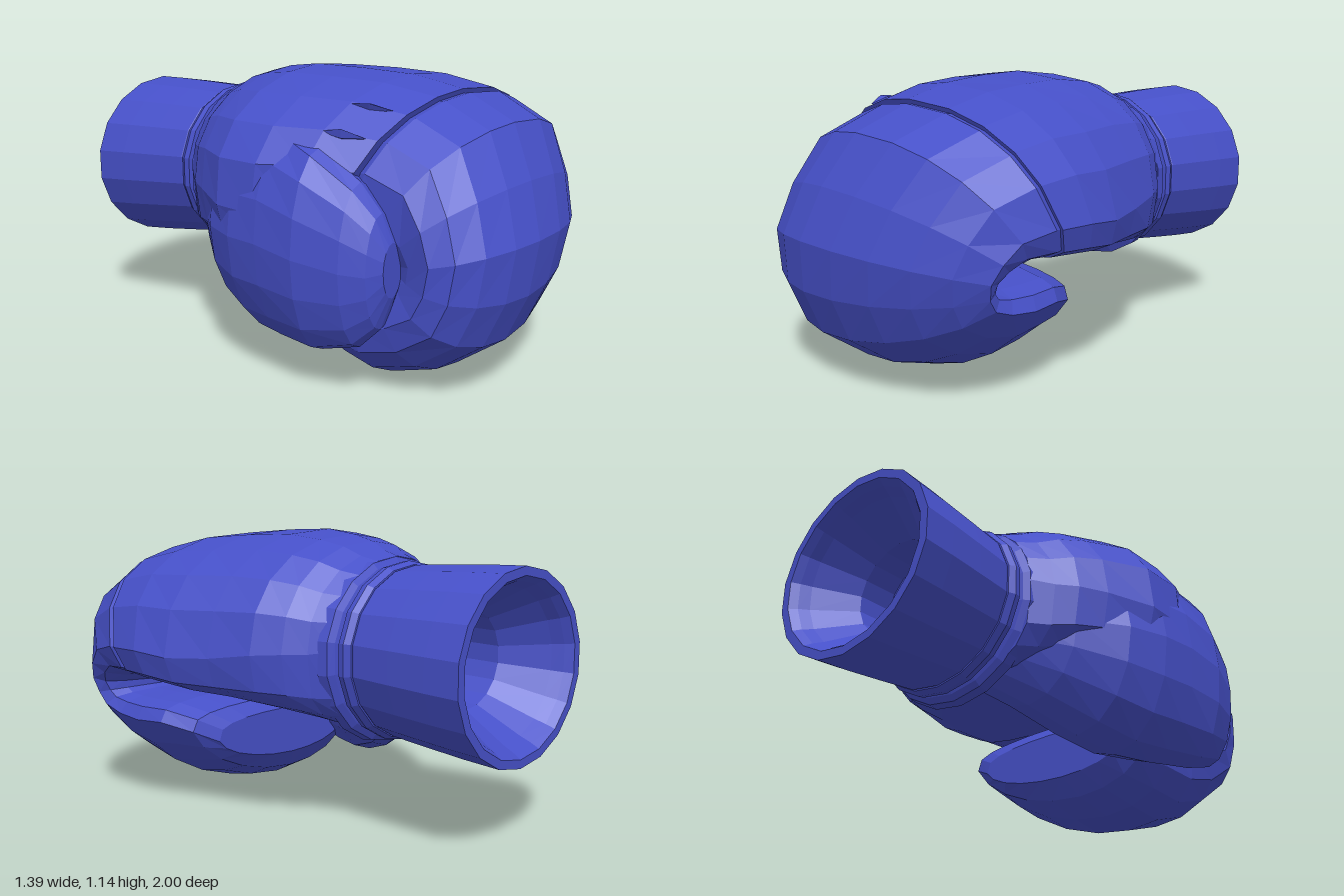
import * as THREE from 'three';

const SIDES = 20;

// Skin a list of closed rings (arrays of Vector3) and cap both ends.
function loft(rings) {
  const pos = [], idx = [];
  const n = rings[0].length;
  rings.forEach(r => r.forEach(p => pos.push(p.x, p.y, p.z)));
  for (let i = 0; i < rings.length - 1; i++) {
    for (let j = 0; j < n; j++) {
      const k = (j + 1) % n;
      const a = i * n + j, b = i * n + k, c = (i + 1) * n + k, d = (i + 1) * n + j;
      idx.push(a, b, c, a, c, d);
    }
  }
  [0, rings.length - 1].forEach((i, end) => {
    const mid = new THREE.Vector3();
    rings[i].forEach(p => mid.addScaledVector(p, 1 / n));
    const m = pos.length / 3;
    pos.push(mid.x, mid.y, mid.z);
    for (let j = 0; j < n; j++) {
      const a = i * n + j, b = i * n + (j + 1) % n;
      if (end) idx.push(m, a, b); else idx.push(m, b, a);
    }
  });
  const g = new THREE.BufferGeometry();
  g.setAttribute('position', new THREE.Float32BufferAttribute(pos, 3));
  g.setIndex(idx);
  g.computeVertexNormals();
  return g;
}

// Ring between an inner (palm) and outer (back of hand) point; f is the height
// of the widest line, shift slides the crown sideways, e below 1 fills the
// right-hand corner while the thumb side stays rounder.
function handRing([oz, oy, iz, iy, xl, xr, f, shift, e]) {
  return Array.from({ length: SIDES }, (_, j) => {
    const a = j / SIDES * Math.PI * 2, c = Math.cos(a), s = Math.sin(a);
    const up = Math.pow(Math.max(s, 0), e);
    const side = Math.sign(c) * Math.pow(Math.abs(c), s <= 0 ? 1 : c > 0 ? e : 1.08);
    const t = s >= 0 ? f + (1 - f) * up : f * (1 - Math.pow(-s, 0.55));
    const x = (xl + xr) / 2 + (xr - xl) / 2 * side + shift * up;
    return new THREE.Vector3(x, iy + (oy - iy) * t, iz + (oz - iz) * t);
  });
}

// Upright elliptical ring for the thumb.
function thumbRing([z, xl, xr, yb, yt]) {
  return Array.from({ length: 16 }, (_, j) => {
    const a = j / 16 * Math.PI * 2;
    return new THREE.Vector3((xl + xr) / 2 + (xr - xl) / 2 * Math.cos(a),
      (yb + yt) / 2 + (yt - yb) / 2 * Math.sin(a), z);
  });
}

export function createModel() {
  const glove = new THREE.Group();
  glove.name = 'boxingGlove';
  const blue = new THREE.MeshStandardMaterial({ color: 0x4650c8 });
  blue.name = 'blueLeather';
  blue.flatShading = true;

  const add = (name, geometry) => {
    const mesh = new THREE.Mesh(geometry, blue);
    mesh.name = name;
    glove.add(mesh);
    return mesh;
  };

  // Back of the hand: outer z, y, inner z, y, left x, right x, widest line, shift, fullness
  const back = [
    [-0.44, 1.04, -0.44, 0.37, -0.39, 0.36, 0.5, 0, 1],
    [-0.37, 1.06, -0.37, 0.38, -0.45, 0.41, 0.46, 0, 0.96],
    [-0.3, 1.095, -0.3, 0.4, -0.51, 0.475, 0.42, -0.01, 0.92],
    [-0.2, 1.12, -0.2, 0.42, -0.57, 0.54, 0.38, -0.02, 0.88],
    [-0.03, 1.14, -0.03, 0.45, -0.66, 0.6, 0.31, -0.04, 0.85],
    [0.18, 1.135, 0.13, 0.47, -0.665, 0.665, 0.28, -0.05, 0.83],
    [0.39, 1.12, 0.26, 0.49, -0.6, 0.695, 0.29, -0.06, 0.82],
    [0.595, 1.075, 0.37, 0.5, -0.53, 0.69, 0.3, -0.05, 0.82],
  ];
  add('backOfHand', loft(back.map(handRing)));

  // Padded fingers curling forward, down and back under the palm
  const curl = [
    [0.58, 1.055, 0.37, 0.51, -0.485, 0.675, 0.3, -0.05, 0.82],
    [0.615, 1.06, 0.4, 0.51, -0.5, 0.69, 0.3, -0.05, 0.82],
    [0.82, 0.97, 0.51, 0.52, -0.485, 0.665, 0.28, -0.07, 0.85],
    [0.93, 0.78, 0.57, 0.51, -0.475, 0.645, 0.26, -0.13, 0.9],
    [1.0, 0.58, 0.6, 0.49, -0.47, 0.62, 0.24, -0.17, 0.95],
    [0.98, 0.38, 0.6, 0.47, -0.465, 0.6, 0.22, -0.19, 1],
    [0.9, 0.2, 0.58, 0.46, -0.46, 0.59, 0.22, -0.2, 1],
    [0.7, 0.06, 0.53, 0.46, -0.45, 0.58, 0.22, -0.2, 1],
    [0.5, 0.0, 0.44, 0.46, -0.45, 0.575, 0.22, -0.2, 1],
    [0.35, 0.03, 0.32, 0.455, -0.44, 0.55, 0.22, -0.18, 1],
    [0.22, 0.09, 0.2, 0.42, -0.41, 0.48, 0.28, -0.12, 1],
    [0.16, 0.17, 0.16, 0.37, -0.34, 0.38, 0.45, -0.06, 1],
  ];
  add('curledFingers', loft(curl.map(handRing)));

  // Thumb mound growing from the wrist and ending beside the fingers
  const thumb = [
    [-0.39, -0.34, 0.1, 0.38, 0.78],
    [-0.28, -0.48, 0.0, 0.29, 0.85],
    [-0.12, -0.61, -0.08, 0.19, 0.93],
    [0.03, -0.67, -0.14, 0.14, 0.97],
    [0.18, -0.69, -0.22, 0.14, 0.97],
    [0.36, -0.7, -0.34, 0.15, 0.91],
    [0.53, -0.65, -0.39, 0.2, 0.8],
    [0.61, -0.6, -0.41, 0.28, 0.7],
    [0.65, -0.55, -0.44, 0.4, 0.6],
  ];
  add('thumb', loft(thumb.map(thumbRing)));

  // Leather puckers lying on the hand where the thumb folds against the fingers
  const fold = handRing([0.46, 1.1, 0.3, 0.49, -0.575, 0.69, 0.29, -0.06, 0.82]);
  fold.slice(7, 10).forEach((point, i) => {
    const pucker = add('thumbPucker', new THREE.OctahedronGeometry(1));
    pucker.scale.set(0.016, 0.03, 0.09);
    pucker.position.copy(point);
    pucker.rotation.set(0.1, 0.3, 0.9 - 0.3 * i);
  });

  // Turned parts along the wrist: points are [radius factor, z]
  const turned = (name, points) => {
    const g = new THREE.LatheGeometry(points.map(([r, z]) => new THREE.Vector2(r, z)), 18);
    g.rotateX(Math.PI / 2);
    g.scale(0.365, 0.335, 1);
    g.translate(-0.005, 0.68, 0);
    return add(name, g);
  };

  // Hollow cuff with a thick lip, tapered inside down to the hand opening
  const cuff = turned('cuff', [
    [0, -0.62], [0.56, -0.62], [0.56, -0.77], [0.86, -0.93], [0.92, -0.97], [0.98, -1],
    [1.08, -1], [1.06, -0.86], [1.025, -0.7], [0.985, -0.54], [0.93, -0.5], [0.9, -0.4],
  ]);
  // The flare leans slightly down and to the right of the wrist
  const p = cuff.geometry.attributes.position;
  for (let i = 0; i < p.count; i++) {
    const flare = Math.max(0, (-0.55 - p.getZ(i)) / 0.45);
    p.setXYZ(i, p.getX(i) - 0.028 * flare, p.getY(i) - 0.02 * flare, p.getZ(i));
  }
  cuff.geometry.computeVertexNormals();

  // Rolled wrist piping and the flange that joins the hand
  turned('wristPiping', [[0.9, -0.535], [0.99, -0.53], [1.03, -0.505], [1.02, -0.48], [0.9, -0.47]]);
  turned('wristFlange', [[0.88, -0.47], [1.0, -0.455], [1.07, -0.44], [1.09, -0.4], [0.9, -0.37]]);

  return glove;
}
